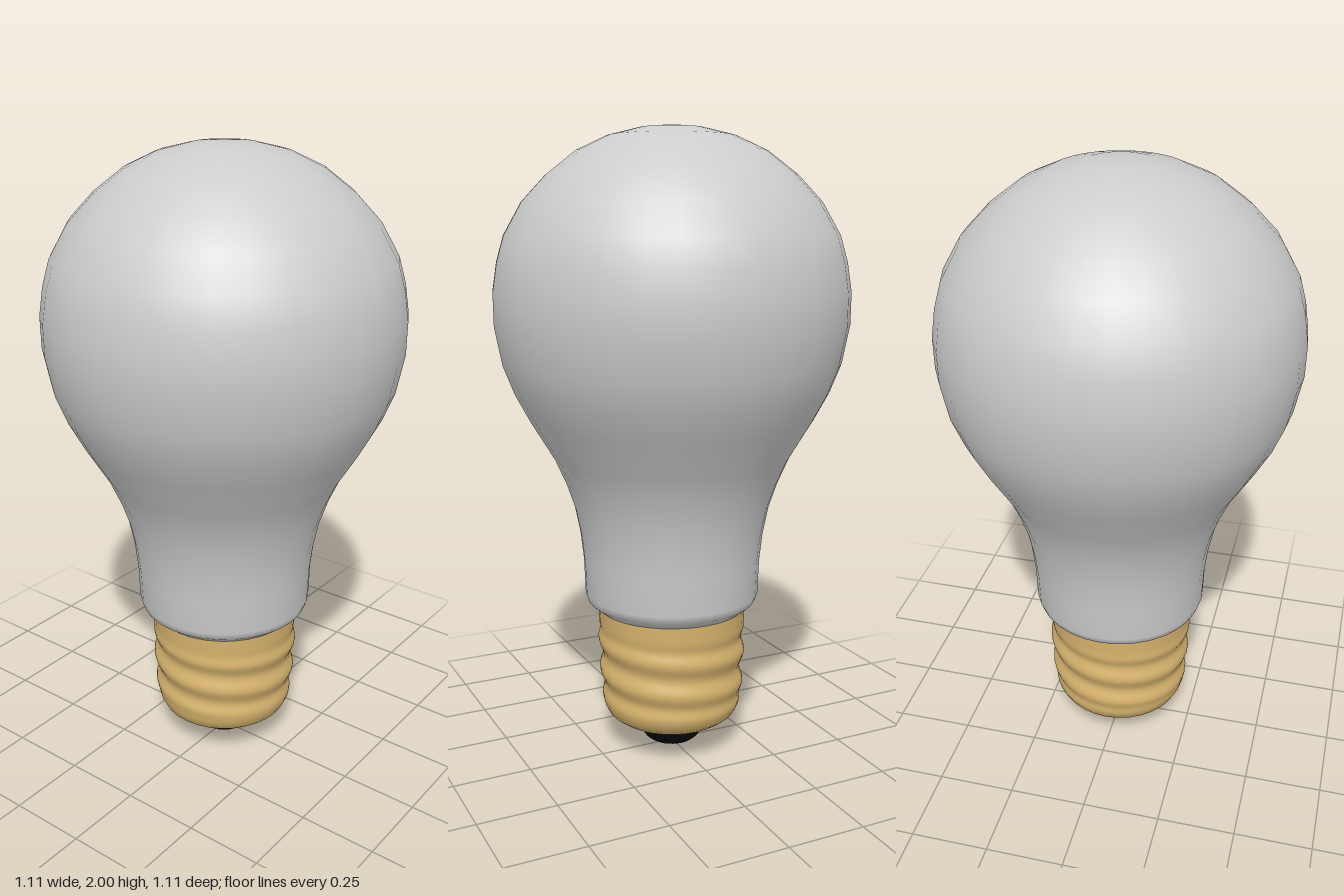
import * as THREE from 'three';
import { mergeVertices } from 'three/addons/utils/BufferGeometryUtils.js';

const SIDES = 32;

// Smooth solid of revolution from [radius, height] pairs, listed bottom to top
function turned(name, profile, material, shape) {
  const geo = new THREE.LatheGeometry(profile.map(([r, y]) => new THREE.Vector2(r, y)), SIDES);
  if (shape) shape(geo.attributes.position);
  geo.deleteAttribute('uv');
  geo.deleteAttribute('normal');
  const welded = mergeVertices(geo, 1e-5);
  welded.computeVertexNormals();
  const mesh = new THREE.Mesh(welded, material);
  mesh.name = name;
  return mesh;
}

// Spiral ridge pressed into the sleeve, fading out at both ends
function pressThread(pos) {
  const pitch = 0.105, depth = 0.007;
  for (let i = 0; i < pos.count; i++) {
    const x = pos.getX(i), y = pos.getY(i), z = pos.getZ(i);
    const turn = Math.atan2(x, z) / (2 * Math.PI);
    const fade = THREE.MathUtils.smoothstep(y, 0.15, 0.21) * (1 - THREE.MathUtils.smoothstep(y, 0.37, 0.43));
    const wave = Math.cos(2 * Math.PI * ((y - 0.265) / pitch + turn));
    const k = 1 + (depth * fade * wave) / Math.hypot(x, z);
    pos.setXYZ(i, x * k, y, z * k);
  }
}

export function createModel() {
  const frosted = new THREE.MeshStandardMaterial({ name: 'frosted glass', color: 0xcccccc });
  const brass = new THREE.MeshStandardMaterial({ name: 'brass', color: 0xd8b46e });
  const black = new THREE.MeshStandardMaterial({ name: 'black insulator', color: 0x0a0a0a });

  const bulb = new THREE.Group();
  bulb.name = 'lightBulb';

  // Glass envelope
  bulb.add(turned('glass', [
    [0.235, 0.475], [0.25, 0.488], [0.272, 0.505], [0.281, 0.53], [0.285, 0.64], [0.295, 0.73],
    [0.313, 0.82], [0.34, 0.9], [0.375, 0.98], [0.447, 1.1], [0.495, 1.19], [0.53, 1.28],
    [0.553, 1.4], [0.554, 1.5], [0.54, 1.59], [0.517, 1.67], [0.46, 1.77], [0.385, 1.85],
    [0.295, 1.92], [0.2, 1.965], [0.1, 1.99], [0, 2],
  ], frosted));

  // Threaded sleeve with a rounded lower end
  const sleeve = [[0.12, 0.08], [0.155, 0.09], [0.185, 0.103], [0.21, 0.122], [0.222, 0.145]];
  for (let i = 0; i <= 28; i++) {
    const t = i / 28;
    sleeve.push([0.226 + 0.014 * t, 0.16 + 0.32 * t]);
  }
  bulb.add(turned('screwBase', sleeve, brass, pressThread));

  // Insulator cone and the contact button below it
  bulb.add(turned('insulator', [
    [0.05, 0.012], [0.075, 0.018], [0.09, 0.03], [0.108, 0.06], [0.128, 0.085],
  ], black));
  bulb.add(turned('contact', [[0, 0], [0.03, 0.003], [0.048, 0.01], [0.053, 0.016]], brass));

  return bulb;
}
